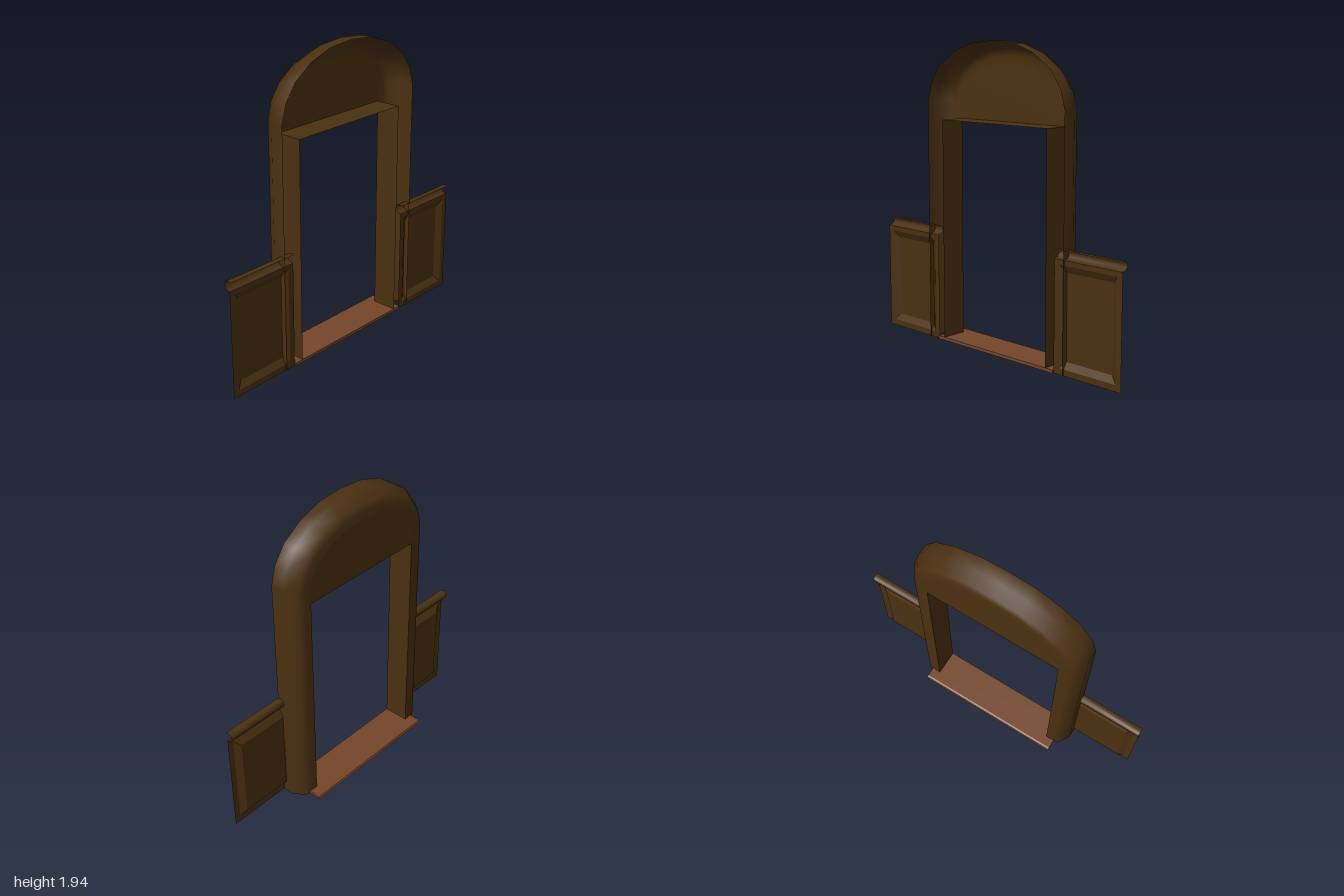
import * as THREE from 'three';

const wood = new THREE.MeshStandardMaterial({ color: 0x4a3010, side: THREE.DoubleSide });
wood.name = 'dark wood';
const sillWood = new THREE.MeshStandardMaterial({ color: 0x74462a });
sillWood.name = 'reddish sill wood';

function mesh(name, geometry, material) {
  const m = new THREE.Mesh(geometry, material);
  m.name = name;
  return m;
}

// Skin a grid of [x, y, z] points; flat gives hard facets
function skin(rows, flat = false) {
  const n = rows[0].length, index = [];
  for (let r = 0; r < rows.length - 1; r++) {
    for (let c = 0; c < n - 1; c++) {
      const a = r * n + c, b = a + n;
      index.push(a, b, a + 1, b, b + 1, a + 1);
    }
  }
  let g = new THREE.BufferGeometry();
  g.setAttribute('position', new THREE.Float32BufferAttribute(rows.flat(2), 3));
  g.setIndex(index);
  if (flat) g = g.toNonIndexed();
  g.computeVertexNormals();
  return g;
}

// Outer outline of the arch, as (z, y), from the +z foot over to the -z foot
const half = [[0.578, 0], [0.578, 1.55], [0.545, 1.67], [0.468, 1.778], [0.338, 1.866], [0.18, 1.92]];
const outline = [...half, [0, 1.936], ...half.slice().reverse().map(([z, y]) => [-z, y])]
  .map(([z, y]) => new THREE.Vector2(z, y));

// Outline moved inwards by a distance, with mitred corners
function insetOutline(d) {
  const normal = (a, b) => new THREE.Vector2(-(b.y - a.y), b.x - a.x).normalize();
  return outline.map((p, i) => {
    const last = outline.length - 1;
    const n1 = normal(outline[Math.max(i - 1, 0)], outline[Math.max(i, 1)]);
    const n2 = normal(outline[Math.min(i, last - 1)], outline[Math.min(i + 1, last)]);
    const m = n1.clone().add(n2).normalize();
    return p.clone().addScaledVector(m, d / m.dot(n1));
  });
}

function quad(a, b, c, d) {
  return skin([[a, b], [d, c]], true);
}

// Wainscot with a raised field and a rounded top rail; s picks the side
function makeWainscot(s) {
  const group = new THREE.Group();
  group.name = s > 0 ? 'frontWainscot' : 'backWainscot';
  const ring = (x, z0, z1, y0, y1) =>
    [[x, y0, z0 * s], [x, y0, z1 * s], [x, y1, z1 * s], [x, y1, z0 * s], [x, y0, z0 * s]];
  const rings = [
    ring(0.11, 0.5, 1, 0, 0.69),
    ring(0.11, 0.54, 0.96, 0.04, 0.66),
    ring(0.085, 0.58, 0.92, 0.08, 0.615),
  ];
  group.add(mesh('panelFrame', skin(rings, true), wood));
  group.add(mesh('raisedField', quad(...rings[2].slice(0, 4)), wood));

  const profile = [[0.11, 0.69], [0.088, 0.696], [0.073, 0.71], [0.07, 0.73],
    [0.08, 0.747], [0.1, 0.752], [0.12, 0.748]];
  const rail = [0.5, 1].map(z => profile.map(([x, y]) => [x, y, z * s]));
  group.add(mesh('topRail', skin(rail), wood));
  return group;
}

export function createModel() {
  const model = new THREE.Group();
  model.name = 'archedDoorway';

  // Hollow rounded surround, open at the back
  const profile = [[0.12, 0], [0.036, 0], [-0.038, 0.045], [-0.047, 0.09], [-0.05, 0.136]];
  const rows = profile.map(([x, d]) => insetOutline(d).map(p => [x, p.y, p.x]));
  model.add(mesh('archSurround', skin(rows), wood));

  // Flat infill between the lintel and the arch
  const inner = insetOutline(0.136).filter(p => p.y > 1.44);
  const infill = new THREE.Shape([new THREE.Vector2(-0.442, 1.44), new THREE.Vector2(0.442, 1.44), ...inner]);
  const infillGeometry = new THREE.ShapeGeometry(infill);
  infillGeometry.rotateY(-Math.PI / 2).translate(-0.05, 0, 0);
  model.add(mesh('archInfill', infillGeometry, wood));

  // Thin lining around the opening
  const path = [[0.442, 0], [0.442, 1.44], [-0.442, 1.44], [-0.442, 0]];
  const lining = [-0.05, 0.12].map(x => path.map(([z, y]) => [x, y, z]));
  model.add(mesh('openingLining', skin(lining, true), wood));

  // Wainscot on both sides
  for (const s of [1, -1]) model.add(makeWainscot(s));

  // Door sill with a rounded nose
  const nose = [[-0.128, 0], [0.12, 0], [0.12, 0.02], [-0.11, 0.02], [-0.122, 0.014]];
  const sill = new THREE.ExtrudeGeometry(
    new THREE.Shape(nose.map(([x, y]) => new THREE.Vector2(x, y))),
    { depth: 1, bevelEnabled: false });
  sill.translate(0, 0, -0.5);
  model.add(mesh('doorSill', sill, sillWood));

  return model;
}
